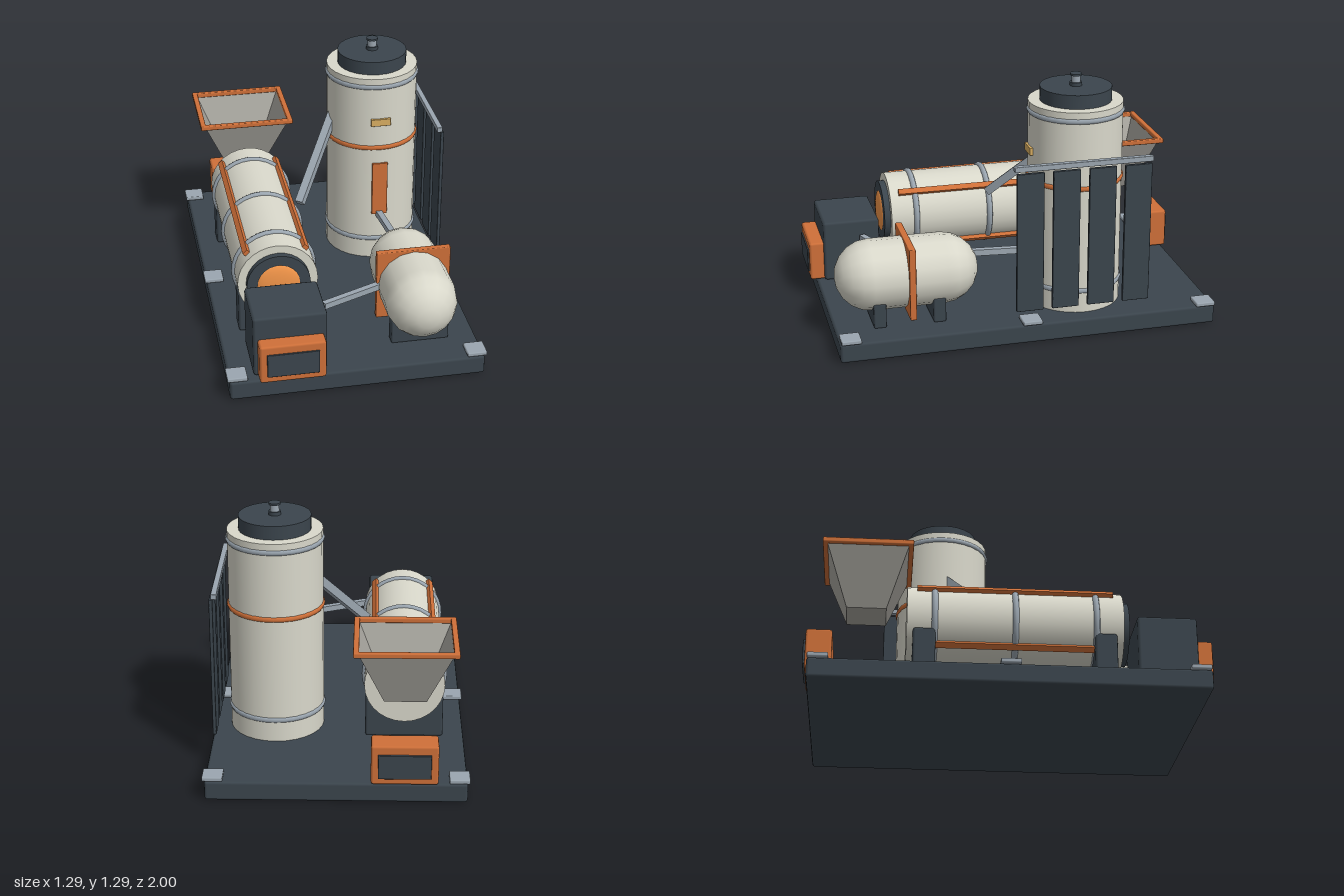
import * as THREE from 'three';
import { RoundedBoxGeometry } from 'three/addons/geometries/RoundedBoxGeometry.js';

const paint = (color, opts = {}) => new THREE.MeshStandardMaterial({ color, ...opts });

export function createModel() {
  const model = new THREE.Group();
  const cream = paint(0xd9d8cb), dark = paint(0x3b454d), orange = paint(0xcf7039);
  const steel = paint(0x9ba6b0), amber = paint(0xd8ae62), glow = paint(0xf29549);
  const hopperGrey = paint(0xa9a7a0, { side: THREE.DoubleSide, flatShading: true });

  const add = (name, geometry, material, x = 0, y = 0, z = 0, parent = model) => {
    const mesh = new THREE.Mesh(geometry, material);
    mesh.name = name;
    mesh.position.set(x, y, z);
    parent.add(mesh);
    return mesh;
  };
  // Bevelled box given by its limits on each axis
  const box = (name, material, [x0, x1], [y0, y1], [z0, z1], bevel = 0.006) => {
    const w = x1 - x0, h = y1 - y0, d = z1 - z0;
    return add(name, new RoundedBoxGeometry(w, h, d, 1, Math.min(bevel, w / 3, h / 3, d / 3)),
      material, (x0 + x1) / 2, (y0 + y1) / 2, (z0 + z1) / 2);
  };
  // Square duct between two points
  const duct = (name, material, a, b, size) => {
    const from = new THREE.Vector3(...a), to = new THREE.Vector3(...b);
    const mid = from.clone().add(to).multiplyScalar(0.5);
    const mesh = add(name, new THREE.BoxGeometry(size, size, from.distanceTo(to)), material, mid.x, mid.y, mid.z);
    mesh.lookAt(to);
    return mesh;
  };

  // Skid base and its lifting pads
  box('base', dark, [-0.637, 0.633], [0, 0.1], [-0.972, 0.958], 0.014);
  for (const x of [-0.598, 0.594])
    for (const z of [-0.92, -0.008, 0.903])
      box('cornerPad', steel, [x - 0.05, x + 0.05], [0.1, 0.122], [z - 0.05, z + 0.05]);

  // Vertical tower with bands, lid and vent
  const tx = 0.313, tz = -0.307;
  const disc = (name, material, r, y0, y1) =>
    add(name, new THREE.CylinderGeometry(r, r, y1 - y0, 28), material, tx, (y0 + y1) / 2, tz);
  disc('towerBody', cream, 0.239, 0.1, 1.16);
  disc('towerLid', dark, 0.181, 1.16, 1.23);
  disc('ventFoot', dark, 0.031, 1.23, 1.248);
  disc('ventStem', steel, 0.023, 1.248, 1.282);
  disc('ventCap', dark, 0.03, 1.282, 1.292);
  for (const [y, material] of [[0.217, steel], [0.765, orange], [1.114, steel]]) {
    const band = add('towerBand', new THREE.TorusGeometry(0.231, 0.016, 8, 32), material, tx, y, tz);
    band.rotation.x = Math.PI / 2;
  }
  box('towerPlate', amber, [0.262, 0.366], [0.895, 0.935], [-0.085, -0.058], 0.003);
  box('towerDoor', orange, [0.272, 0.355], [0.37, 0.675], [-0.085, -0.06], 0.003);

  // Horizontal drum with rings, rails and saddles
  const dx = -0.335, dy = 0.4;
  const lying = (name, material, r, z0, z1) => {
    const mesh = add(name, new THREE.CylinderGeometry(r, r, z1 - z0, 28), material, dx, dy, (z0 + z1) / 2);
    mesh.rotation.x = Math.PI / 2;
  };
  lying('drumBody', cream, 0.202, -0.505, 0.555);
  lying('drumCollar', dark, 0.16, 0.55, 0.587);
  const dome = add('drumBurnerFace', new THREE.SphereGeometry(0.112, 24, 12), glow, dx, dy, 0.58);
  dome.scale.z = 0.22;
  for (const z of [-0.37, 0.024, 0.42])
    add('drumRing', new THREE.TorusGeometry(0.2, 0.016, 8, 32), steel, dx, dy, z);
  for (let i = 0; i < 4; i++) {
    const a = Math.PI / 4 + i * Math.PI / 2;
    const rail = add('drumRail', new THREE.BoxGeometry(0.022, 0.03, 0.965), orange,
      dx + 0.21 * Math.cos(a), dy + 0.21 * Math.sin(a), 0.026);
    rail.rotation.z = a;
  }
  for (const z of [-0.42, 0.465])
    box('drumSaddle', dark, [-0.531, -0.139], [0.1, 0.32], [z - 0.055, z + 0.055], 0.012);

  // Burner housing, plus a framed window at each end of the skid
  box('burnerHousing', dark, [-0.515, -0.152], [0.1, 0.425], [0.622, 0.918], 0.014);
  for (const [side, inner, outer] of [[1, 0.91, 0.992], [-1, 0.86, 0.988]]) {
    const span = (a, b) => (side > 0 ? [a, b] : [-b, -a]);
    box('windowFrame', orange, [-0.494, -0.169], [0.104, 0.31], span(inner, outer), 0.012);
    box('windowPane', dark, [-0.459, -0.203], [0.14, 0.266], span(outer - 0.02, 1), 0.004);
  }

  // Feed hopper: tapered shell with a floor and a rim
  const hx = -0.333, hz = -0.703;
  const shell = new THREE.BoxGeometry(1, 1, 1);
  const p = shell.attributes.position;
  for (let i = 0; i < p.count; i++) {
    const top = p.getY(i) > 0;
    p.setXYZ(i, p.getX(i) * (top ? 0.455 : 0.205), top ? 0.75 : 0.455, p.getZ(i) * (top ? 0.405 : 0.195));
  }
  // Drop the top face (third of six) to leave the shell open
  const faces = Array.from(shell.index.array);
  shell.setIndex([...faces.slice(0, 12), ...faces.slice(18)]);
  shell.clearGroups();
  shell.computeVertexNormals();
  add('hopperShell', shell, hopperGrey, hx, 0, hz);
  for (const s of [-1, 1]) {
    const ex = hx + s * 0.237, ez = hz + s * 0.209;
    box('hopperRimSide', orange, [ex - 0.014, ex + 0.014], [0.738, 0.764], [hz - 0.223, hz + 0.223]);
    box('hopperRimEnd', orange, [hx - 0.251, hx + 0.251], [0.738, 0.764], [ez - 0.014, ez + 0.014]);
  }

  // Capsule tank with a square collar and two saddles
  const tank = add('tank', new THREE.CapsuleGeometry(0.18, 0.367, 5, 16), cream, 0.347, 0.334, 0.575);
  tank.rotation.x = Math.PI / 2;
  box('tankCollar', orange, [0.158, 0.536], [0.145, 0.522], [0.558, 0.592], 0.005);
  for (const z of [0.433, 0.735])
    box('tankSaddle', dark, [0.2, 0.492], [0.1, 0.23], [z - 0.032, z + 0.032], 0.008);

  // Connecting ducts
  duct('drumToTowerChute', steel, [-0.135, 0.535, 0.035], [0.125, 0.915, -0.32], 0.043);
  duct('tankToTowerPipe', steel, [0.31, 0.37, -0.09], [0.333, 0.395, 0.27], 0.032);
  duct('burnerToTankPipe', steel, [-0.135, 0.335, 0.718], [0.22, 0.335, 0.567], 0.032);

  // Side screen: hanging slats under a rail
  for (let i = 0; i < 4; i++) {
    const z = 0.003 - i * 0.183;
    box('screenSlat', dark, [0.601, 0.62], [0.17, 0.897], [z - 0.069, z + 0.069], 0.004);
  }
  box('screenRail', steel, [0.58, 0.609], [0.902, 0.931], [-0.625, 0.081], 0.004);

  return model;
}
